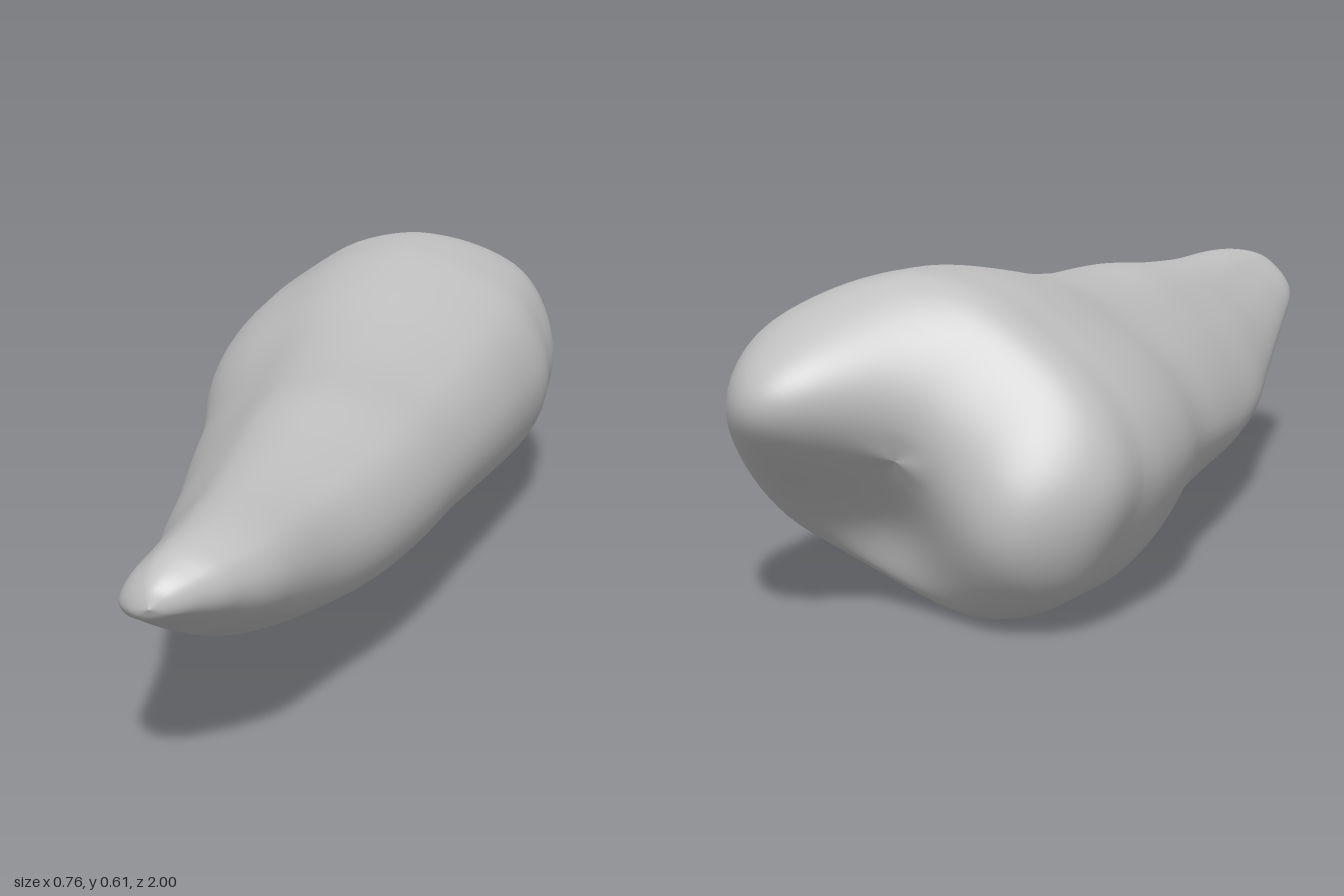
import * as THREE from 'three';

// Cross-section outline of the crown, clockwise seen from the front
const OUTLINE = [
  [0.03, 0.608], [0.12, 0.597], [0.21, 0.565], [0.30, 0.51], [0.355, 0.43], [0.38, 0.33],
  [0.36, 0.23], [0.30, 0.15], [0.20, 0.09], [0.10, 0.045], [0, 0.013], [-0.1, 0],
  [-0.2, 0.02], [-0.29, 0.07], [-0.35, 0.16], [-0.38, 0.26], [-0.36, 0.35], [-0.30, 0.435],
  [-0.2, 0.515], [-0.09, 0.582],
];

// Extents along the length: z, x min, x max, y min, y max
const STATIONS = [
  [1.0, -0.06, -0.06, 0.395, 0.395],
  [0.985, -0.095, -0.02, 0.37, 0.428],
  [0.95, -0.125, 0.025, 0.35, 0.455],
  [0.9, -0.142, 0.07, 0.322, 0.475],
  [0.8, -0.157, 0.12, 0.265, 0.486],
  [0.6, -0.19, 0.165, 0.175, 0.488],
  [0.4, -0.235, 0.225, 0.125, 0.5],
  [0.2, -0.265, 0.27, 0.1, 0.52],
  [0, -0.295, 0.30, 0.09, 0.525],
  [-0.2, -0.32, 0.33, 0.06, 0.545],
  [-0.4, -0.365, 0.358, 0.02, 0.58],
  [-0.55, -0.38, 0.377, 0, 0.603],
  [-0.66, -0.372, 0.372, 0.001, 0.609],
];

const bump = (x, y, cx, cy, r) => Math.exp(-((x - cx) ** 2 + (y - cy) ** 2) / (2 * r * r));

// Depth of the chewing surface: two cusps joined by a ridge, with a shallow valley below
const crownZ = (x, y) => -(0.75
  + 0.265 * bump(x, y, 0.2, 0.41, 0.15)
  + 0.14 * bump(x, y, -0.22, 0.19, 0.16)
  + 0.02 * bump(x, y, -0.03, 0.46, 0.13)
  - 0.08 * bump(x, y, 0.08, 0.17, 0.12));

function toothGeometry() {
  const SIDES = 80, BODY = 80, CAP = 44;
  const loop = new THREE.CatmullRomCurve3(
    OUTLINE.map(([x, y]) => new THREE.Vector3(x / 0.38, (y - 0.304) / 0.304, 0)), true);
  const section = loop.getPoints(SIDES).slice(0, SIDES);
  const track = (a, b) => new THREE.CatmullRomCurve3(
    STATIONS.map((s) => new THREE.Vector3(s[0], s[a], s[b])), false, 'catmullrom', 0.5);
  const xs = track(1, 2), ys = track(3, 4);
  const pos = [], index = [];

  // Root and body; the root sags towards its lower right edge
  for (let i = 0; i <= BODY; i++) {
    const px = xs.getPoint(i / BODY), py = ys.getPoint(i / BODY);
    const sag = 0.35 * THREE.MathUtils.smoothstep(px.x, -0.5, 0.3);
    for (const p of section) {
      const v = p.y - sag * Math.max(0, 1 - p.y * p.y) * Math.max(0, -p.x);
      pos.push((px.y + px.z) / 2 + p.x * (px.z - px.y) / 2,
        (py.y + py.z) / 2 + v * (py.z - py.y) / 2, px.x);
    }
  }

  // Rounded crown, shrinking rings pushed out to the chewing surface
  const [z0, x0, x1, y0, y1] = STATIONS[STATIONS.length - 1];
  for (let i = 1; i <= CAP; i++) {
    const a = (i / CAP) * Math.PI / 2;
    const k = i === CAP ? 0 : Math.cos(a) ** 0.57;
    const s = Math.sin(a) ** 0.57;
    for (const p of section) {
      const x = (x0 + x1) / 2 + k * p.x * (x1 - x0) / 2;
      const y = (y0 + y1) / 2 + k * p.y * (y1 - y0) / 2;
      pos.push(x, y, z0 + (crownZ(x, y) - z0) * s);
    }
  }

  // Skin between neighbouring rings, single triangles at both ends
  for (let i = 0; i < BODY + CAP; i++) {
    for (let j = 0; j < SIDES; j++) {
      const n = (j + 1) % SIDES;
      const a = i * SIDES + j, b = i * SIDES + n, c = a + SIDES, d = b + SIDES;
      if (i > 0) index.push(a, b, c);
      else index.push(a, d, c);
      if (i > 0 && i < BODY + CAP - 1) index.push(b, d, c);
    }
  }
  const geo = new THREE.BufferGeometry();
  geo.setAttribute('position', new THREE.Float32BufferAttribute(pos, 3));
  geo.setIndex(index);
  geo.computeVertexNormals();
  return geo;
}

export function createModel() {
  const group = new THREE.Group();
  group.name = 'toothModel';
  const enamel = new THREE.MeshStandardMaterial({ color: 0xc0c0c0 });
  enamel.name = 'enamelGrey';
  const tooth = new THREE.Mesh(toothGeometry(), enamel);
  tooth.name = 'tooth';
  group.add(tooth);
  return group;
}
